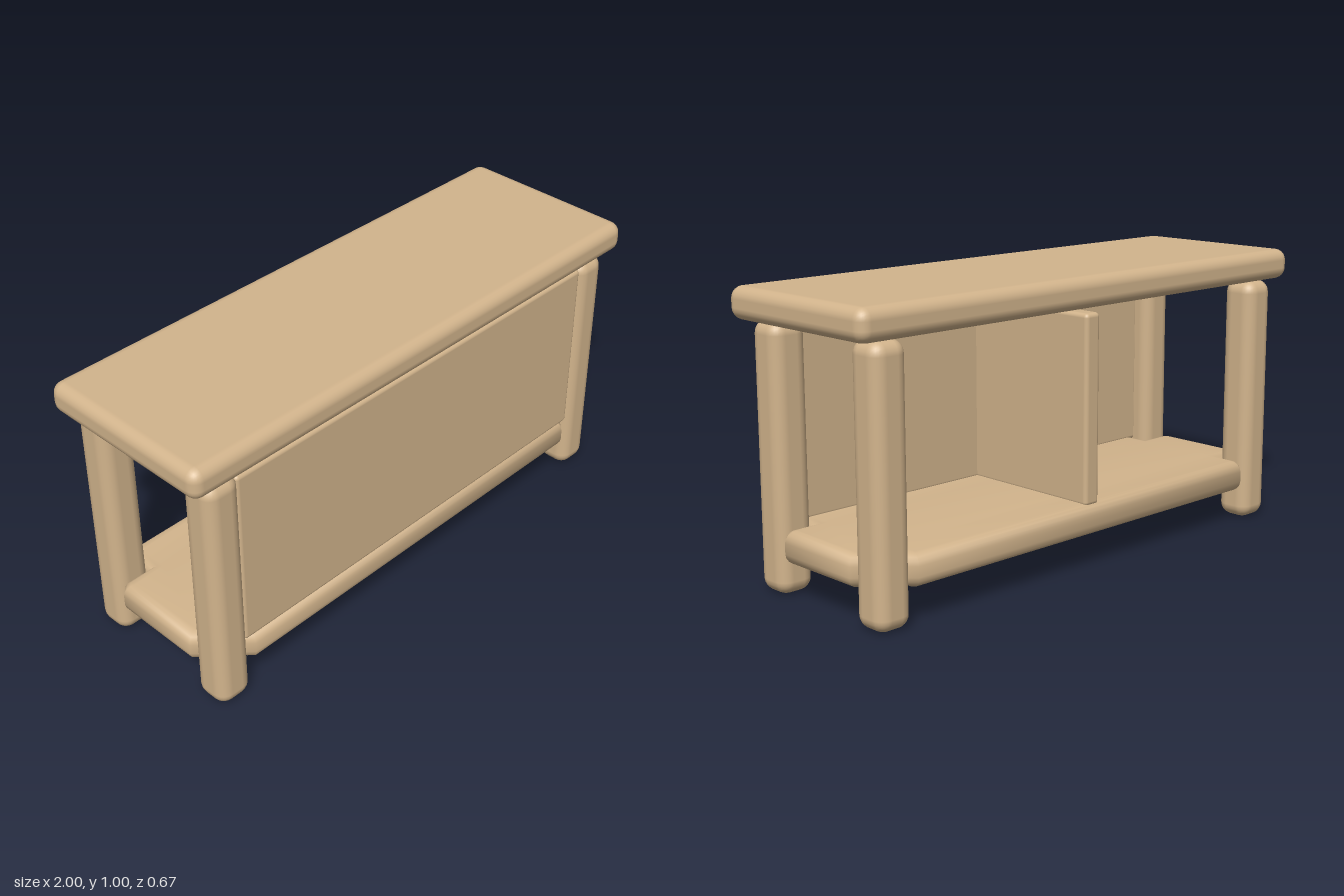
import * as THREE from 'three';
import { RoundedBoxGeometry } from 'three/addons/geometries/RoundedBoxGeometry.js';
import { toCreasedNormals } from 'three/addons/utils/BufferGeometryUtils.js';

const wood = new THREE.MeshStandardMaterial({ color: 0xd2b48c });
wood.name = 'tan wood';

// Rounded board given by its low and high corners
function board(name, [x0, y0, z0], [x1, y1, z1], radius) {
  const geometry = new RoundedBoxGeometry(x1 - x0, y1 - y0, z1 - z0, 3, radius);
  const mesh = new THREE.Mesh(geometry, wood);
  mesh.position.set((x0 + x1) / 2, (y0 + y1) / 2, (z0 + z1) / 2);
  mesh.name = name;
  return mesh;
}

// Shelf with a notch at each corner for the legs and a rounded edge all round
function notchedShelf() {
  const r = 0.037, c = 0.005; // edge radius, tiny corner cut widened by the bevel
  const X = 0.933 - r, Z = 0.308 - r; // outer outline
  const x = 0.807 - r, z = 0.19 - r; // notch
  const quarter = [[X - c, z], [X, z - c]];
  const shape = new THREE.Shape();
  const points = [];
  const corner = [[...quarter[1]], [...quarter[0]], [x, z], [x, Z - c], [x - c, Z]];
  for (const [sx, sz] of [[1, 1], [-1, 1], [-1, -1], [1, -1]]) {
    const run = corner.map(([a, b]) => new THREE.Vector2(a * sx, b * sz));
    points.push(...(sx * sz > 0 ? run : run.reverse()));
  }
  shape.setFromPoints(points);
  const height = 0.11;
  const geometry = new THREE.ExtrudeGeometry(shape, {
    depth: height - 2 * r, bevelSize: r, bevelThickness: r, bevelSegments: 4,
  });
  geometry.rotateX(-Math.PI / 2).translate(0, 0.115 + r, 0);
  const mesh = new THREE.Mesh(toCreasedNormals(geometry, 0.85), wood);
  mesh.name = 'shelf';
  return mesh;
}

export function createModel() {
  const model = new THREE.Group();
  model.name = 'console table';

  model.add(board('tableTop', [-1, 0.892, -0.333], [1, 1, 0.333], 0.04));

  // Four square legs with soft edges
  for (const sx of [-1, 1]) {
    for (const sz of [-1, 1]) {
      const leg = board('leg', [0.803, 0, 0.18], [0.935, 0.891, 0.312], 0.045);
      leg.position.x *= sx;
      leg.position.z *= sz;
      model.add(leg);
    }
  }

  model.add(notchedShelf());

  // Closed front and the middle divider behind it
  model.add(board('frontPanel', [-0.815, 0.215, 0.245], [0.815, 0.872, 0.298], 0.015));
  model.add(board('divider', [-0.033, 0.215, -0.29], [0.033, 0.87, 0.265], 0.015));

  return model;
}
